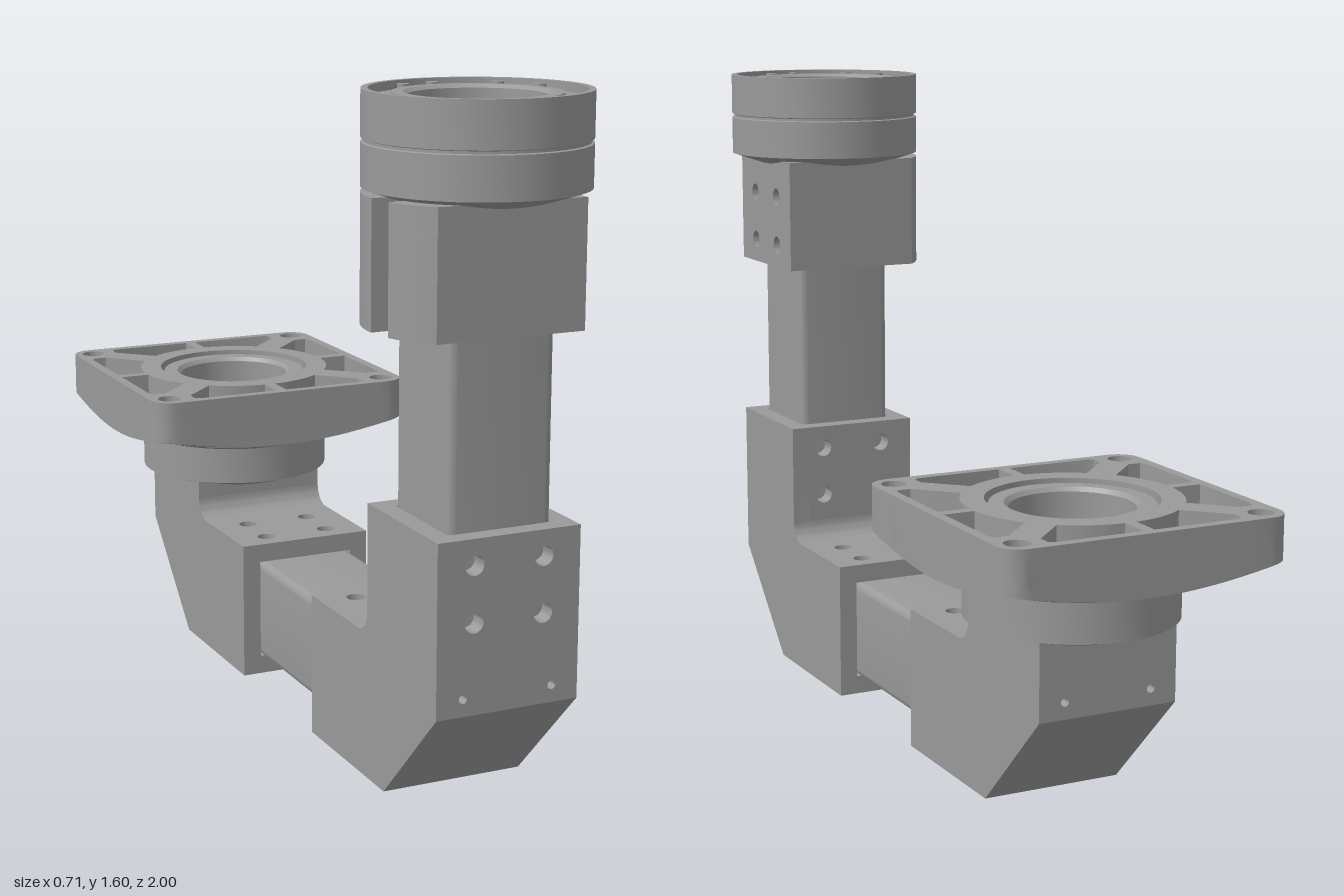
import * as THREE from 'three';
import { toCreasedNormals } from 'three/addons/utils/BufferGeometryUtils.js';

const grey = new THREE.MeshStandardMaterial({ color: 0x9a9a9a });
grey.name = 'castGrey';

const V = (x, y) => new THREE.Vector2(x, y);
const mesh = (name, geo, x = 0, y = 0, z = 0) => {
  const m = new THREE.Mesh(toCreasedNormals(geo, 0.5), grey);
  m.name = name;
  m.position.set(x, y, z);
  return m;
};
const circle = (x, y, r, n = 32) =>
  Array.from({ length: n }, (_, i) => V(x + r * Math.cos(i * 2 * Math.PI / n), y + r * Math.sin(i * 2 * Math.PI / n)));
const arc = (x, y, r, a, b, n = 10) =>
  Array.from({ length: n + 1 }, (_, i) => V(x + r * Math.cos(a + (b - a) * i / n), y + r * Math.sin(a + (b - a) * i / n)));
const extrude = (points, depth, holes = []) => {
  const s = new THREE.Shape(points);
  s.holes = holes.map((h) => new THREE.Path(h));
  return new THREE.ExtrudeGeometry(s, { depth, bevelEnabled: false });
};
// Extrusion standing up along y, shape y pointing to -z
const upright = (points, depth, holes) => extrude(points, depth, holes).rotateX(-Math.PI / 2);
// Extrusion across x of a (z, y) outline, centred on x = 0
const across = (points, w) => extrude(points, w).rotateY(-Math.PI / 2).translate(w / 2, 0, 0);
const lathe = (profile) => new THREE.LatheGeometry(profile.map(([r, y]) => V(r, y)), 72);

// Rounded square outline with subdivided sides
function squarePoints(h, r, n = 1) {
  const corners = [];
  for (let k = 0; k < 4; k++) {
    const a = k * Math.PI / 2, m = a + Math.PI / 4, d = (h - r) * Math.SQRT2;
    corners.push(arc(d * Math.cos(m), d * Math.sin(m), r, a, a + Math.PI / 2, 6));
  }
  return corners.flatMap((c, k) => {
    const end = c[6], next = corners[(k + 1) % 4][0];
    return [...c, ...Array.from({ length: n - 1 }, (_, i) => end.clone().lerp(next, (i + 1) / n))];
  });
}

const W = 0.175, T = 0.047, IN = W - T;      // socket half width, wall, tube half width
const AXIS = 0.4825;                         // upright axis measured from the arm end

// Hollow mitred elbow: arm end at z = 0, upright socket open at y = top
function makeElbow(name, top) {
  const g = new THREE.Group();
  g.name = name;
  const fillet = arc(0.26, 0.40, 0.05, 0, -Math.PI / 2);
  const side = [V(0, 0), V(0.4, 0), V(0.655, 0.26), V(0.655, top), V(0.31, top), ...fillet, V(0, 0.35)];
  for (const s of [-1, 1]) g.add(mesh('elbowSide', across(side, T), s * (W - T / 2)));
  g.add(mesh('chamferWall', across([V(0.4, 0), V(0.655, 0.26), V(0.608, 0.26), V(0.4, T)], 2 * IN)));
  g.add(mesh('innerCorner', across([...fillet, V(0.26, 0.303), V(0.357, 0.303), V(0.357, 0.4)], 2 * IN)));
  // Flat wall from a to b with pairs of bolt holes and smaller pin holes
  const wall = (a, b, bolts, pins) => {
    const pair = (p, x, r) => [circle(x, p, r, 20), circle(-x, p, r, 20)];
    const holes = [...bolts.filter((p) => p < b - 0.03).flatMap((p) => pair(p, 0.085, 0.023)),
      ...pins.flatMap((p) => pair(p, 0.11, 0.01))];
    return extrude([V(-IN, a), V(IN, a), V(IN, b), V(-IN, b)], T, holes);
  };
  g.add(mesh('outerWall', wall(0.26, top, [0.47, 0.6], [0.3]), 0, 0, 0.608));
  g.add(mesh('innerWall', wall(0.4, top, [0.47, 0.6], []), 0, 0, 0.31));
  g.add(mesh('bottomWall', wall(0, 0.4, [0.06, 0.185], [0.35]).rotateX(Math.PI / 2), 0, T, 0));
  g.add(mesh('topWall', wall(0, 0.26, [0.06, 0.185], []).rotateX(Math.PI / 2), 0, 0.35, 0));
  return g;
}

// Round head with the D-shaped socket below it
function makeHead() {
  const g = new THREE.Group();
  g.name = 'head';
  const a = Math.PI - 0.759, notch = 0.065;
  const dShape = [V(0.155, -0.172), V(0.155, 0.172), ...arc(0, 0, 0.25, a, Math.PI),
    V(-0.19, 0), V(-0.19, -notch), ...arc(0, 0, 0.25, Math.PI + 0.263, 2 * Math.PI - a)];
  g.add(mesh('socketBase', upright(dShape, 0.11), 0, 1.09));
  g.add(mesh('socketUpper', upright(dShape, 0.178, [circle(0, 0, 0.15, 48)]), 0, 1.2));
  // Bolted cheek on the +x side
  const bolts = [-0.075, 0.075].flatMap((z) => [1.15, 1.28].map((y) => circle(z, y, 0.023, 20)));
  const cheek = extrude([V(-0.172, 1.09), V(0.172, 1.09), V(0.172, 1.378), V(-0.172, 1.378)], 0.02, bolts);
  g.add(mesh('socketCheek', cheek.rotateY(Math.PI / 2), 0.155));
  g.add(mesh('headRing', lathe([[0.15, 1.357], [0.25, 1.39], [0.25, 1.486], [0.244, 1.488], [0.244, 1.494],
    [0.25, 1.496], [0.25, 1.6], [0.235, 1.6], [0.235, 1.58], [0.185, 1.58], [0.185, 1.592], [0.16, 1.592],
    [0.15, 1.585], [0.15, 1.357]])));
  for (const deg of [0, 20, 112, 140, 180, 202, 292, 320]) {
    const t = deg * Math.PI / 180;
    g.add(mesh('headScrew', new THREE.CylinderGeometry(0.014, 0.014, 0.015, 16),
      0.212 * Math.sin(t), 1.587, 0.212 * Math.cos(t)));
  }
  return g;
}

// Square mounting plate with a conical underside, ribs and pockets
function makePlate() {
  const g = new THREE.Group();
  g.name = 'mountingPlate';
  const cone = (r) => 0.541 + (r - 0.25) * 0.3;
  const shaped = (geo, bottom, top) => {
    const p = geo.attributes.position;
    for (let i = 0; i < p.count; i++) {
      const r = Math.hypot(p.getX(i), p.getZ(i));
      p.setY(i, p.getY(i) < 0.5 ? bottom(r) : top(r));
    }
    return geo;
  };
  const outline = squarePoints(0.355, 0.055, 16);
  const bolts = [[1, 1], [1, -1], [-1, 1], [-1, -1]].map(([x, y]) => circle(0.303 * x, 0.303 * y, 0.03, 24));
  // One pocket, repeated by mirroring and swapping axes
  const pocket = [V(0.33, 0.014), V(0.33, 0.225), V(0.322, 0.24), V(0.29, 0.24),
    ...arc(0, 0, 0.255, 0.647, 0.055, 12)];
  const pockets = [];
  for (const sx of [-1, 1]) for (const sy of [-1, 1]) {
    pockets.push(pocket.map((p) => V(sx * p.x, sy * p.y)), pocket.map((p) => V(sx * p.y, sy * p.x)));
  }
  g.add(mesh('rimAndRibs', shaped(upright(outline, 1, [circle(0, 0, 0.2, 72), ...bolts, ...pockets]),
    (r) => cone(r) + 0.015, () => 0.715)));
  g.add(mesh('plateCorners', shaped(upright(outline, 1, [circle(0, 0, 0.345, 72), ...bolts]),
    cone, (r) => cone(r) + 0.03)));
  g.add(mesh('hub', lathe([[0.142, 0.411], [0.25, 0.447], [0.25, 0.541], [0.35, cone(0.35)],
    [0.35, cone(0.35) + 0.03], [0.2, cone(0.2) + 0.03], [0.2, 0.69], [0.19, 0.69], [0.19, 0.705],
    [0.155, 0.705], [0.145, 0.695], [0.142, 0.411]])));
  return g;
}

export function createModel() {
  const model = new THREE.Group();
  model.name = 'supportArm';
  const zFront = 0.27 + AXIS, zBack = -0.16 - AXIS;

  const frontElbow = makeElbow('frontElbow', 0.66);
  frontElbow.position.z = 0.27;
  const backElbow = makeElbow('backElbow', 0.46);
  backElbow.rotation.y = Math.PI;
  backElbow.position.z = -0.16;

  // Square tubes between the sockets
  const section = squarePoints(IN, 0.02);
  const upTube = mesh('uprightTube', upright(section, 0.81), 0, 0.4, zFront);
  const armTube = mesh('armTube', extrude(section, 1.01), 0, W, -0.45);

  const head = makeHead();
  head.position.z = zFront - 0.003;
  const plate = makePlate();
  plate.position.z = zBack - 0.002;

  model.add(frontElbow, backElbow, upTube, armTube, head, plate);
  return model;
}
